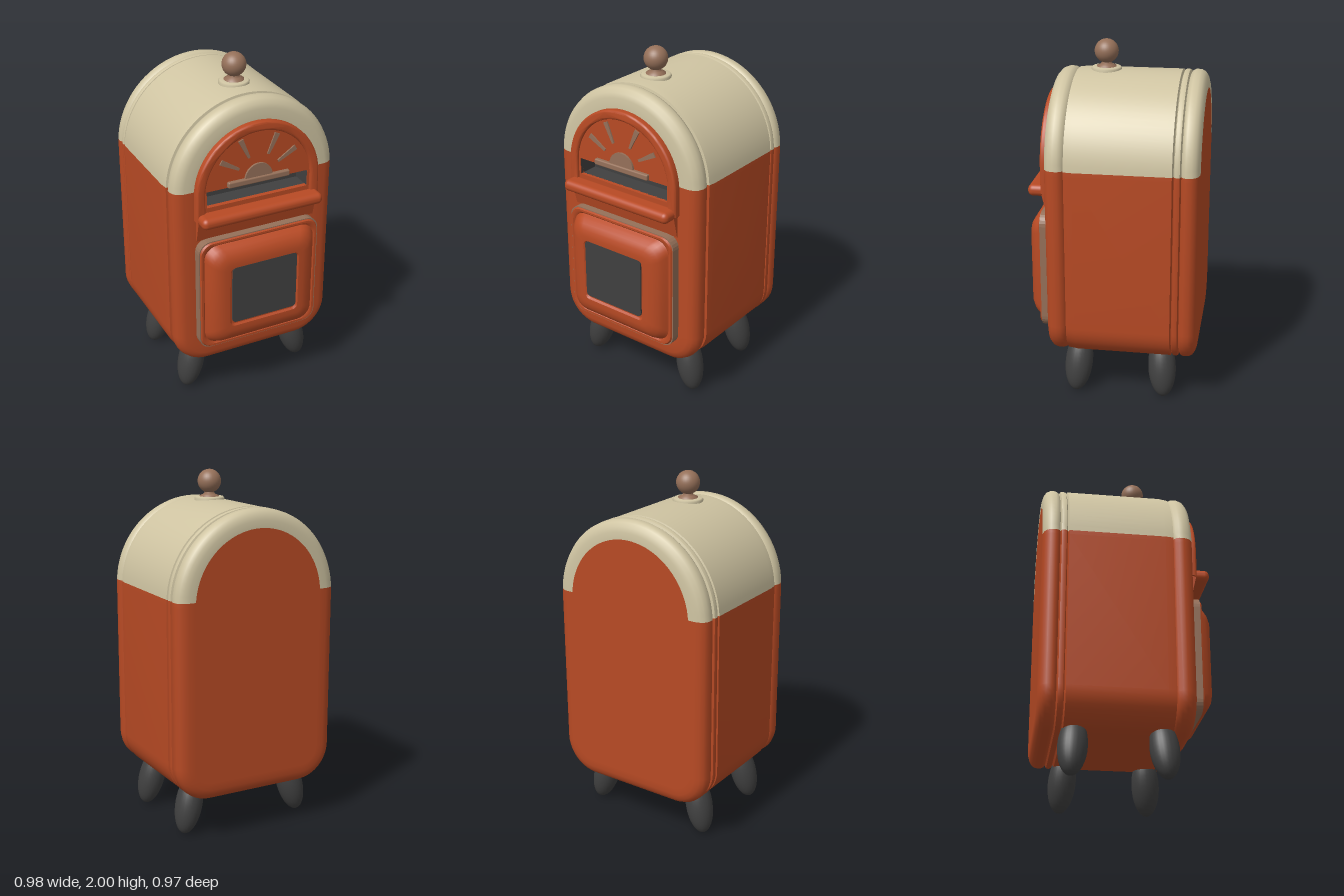
import * as THREE from 'three';
import { toCreasedNormals } from 'three/addons/utils/BufferGeometryUtils.js';
import { RoundedBoxGeometry } from 'three/addons/geometries/RoundedBoxGeometry.js';

const HALF = 0.488, ARC_Y = 1.345, SPLIT_Y = 1.37, BOTTOM = 0.25, CORNER = 0.2;

// points along an arc
function arc(cx, cy, r, a0, a1, n) {
  const pts = [];
  for (let i = 0; i <= n; i++) {
    const a = a0 + (a1 - a0) * i / n;
    pts.push(new THREE.Vector2(cx + r * Math.cos(a), cy + r * Math.sin(a)));
  }
  return pts;
}

// cabinet outline, inset by d, split where the colours meet
function upperOutline(d) {
  const phi = Math.asin((SPLIT_Y - ARC_Y) / (HALF - d));
  return arc(0, ARC_Y, HALF - d, phi, Math.PI - phi, 40);
}
function lowerOutline(d) {
  const r = HALF - d, phi = Math.asin((SPLIT_Y - ARC_Y) / r);
  const cx = HALF - CORNER, cy = BOTTOM + CORNER, cr = CORNER - d;
  return [
    ...arc(0, ARC_Y, r, Math.PI - phi, Math.PI, 2),
    ...arc(-cx, cy, cr, Math.PI, Math.PI * 1.5, 10),
    ...arc(cx, cy, cr, Math.PI * 1.5, Math.PI * 2, 10),
    ...arc(0, ARC_Y, r, 0, phi, 2),
  ];
}

function roundedRect(hw, hh, r, cy) {
  const x = hw - r, y = hh - r, q = Math.PI / 2;
  return [
    ...arc(x, cy + y, r, 0, q, 6), ...arc(-x, cy + y, r, q, 2 * q, 6),
    ...arc(-x, cy - y, r, 2 * q, 3 * q, 6), ...arc(x, cy - y, r, 3 * q, 4 * q, 6),
    new THREE.Vector2(hw, cy + y),
  ];
}

// skin between outlines, ordered from front to back
function loft(rings, zs, crease = 0.6) {
  const pos = [], idx = [], n = rings[0].length;
  rings.forEach((ring, i) => ring.forEach((p) => pos.push(p.x, p.y, zs[i])));
  for (let i = 0; i < rings.length - 1; i++) {
    for (let j = 0; j < n - 1; j++) {
      const a = i * n + j, b = a + 1, c = a + n, e = c + 1;
      idx.push(a, c, b, b, c, e);
    }
  }
  const g = new THREE.BufferGeometry();
  g.setAttribute('position', new THREE.Float32BufferAttribute(pos, 3));
  g.setIndex(idx);
  return toCreasedNormals(g, crease);
}

function archShape(r, y0) {
  return new THREE.Shape([new THREE.Vector2(-r, y0), new THREE.Vector2(r, y0), ...arc(0, ARC_Y, r, 0, Math.PI, 32)]);
}
function rectShape(x, y0, y1) {
  return new THREE.Shape([[-x, y0], [x, y0], [x, y1], [-x, y1]].map((p) => new THREE.Vector2(...p)));
}
function extrude(shape, z0, z1, bevel = 0) {
  const g = new THREE.ExtrudeGeometry(shape, {
    depth: z1 - z0 - bevel, bevelEnabled: bevel > 0, bevelSize: bevel, bevelThickness: bevel,
    bevelOffset: -bevel, bevelSegments: 3, curveSegments: 24,
  });
  return g.translate(0, 0, z0);
}

export function createModel() {
  const mat = (name, color) => Object.assign(new THREE.MeshStandardMaterial({ color }), { name });
  const red = mat('orange red', 0xb84a24);
  const cream = mat('cream', 0xcfc4a2);
  const brown = mat('brown', 0x957059);
  const dark = mat('charcoal', 0x404040);

  const model = new THREE.Group();
  model.name = 'cabinet';
  const add = (name, geometry, material, x = 0, y = 0, z = 0) => {
    const m = new THREE.Mesh(geometry, material);
    m.name = name;
    m.position.set(x, y, z);
    model.add(m);
    return m;
  };

  // shell: [z, inset] from the front rim to the back rim
  const profile = [
    [0.36, 0.12], [0.36, 0.06], [0.352, 0.033], [0.332, 0.011], [0.305, 0.002], [0.28, 0.003], [0.26, 0.012],
    [0.25, 0.027], [0.246, 0.006], [0.2, 0], [-0.338, 0], [-0.345, 0.018], [-0.351, 0.002], [-0.365, -0.002],
    [-0.379, 0.002], [-0.386, 0.02], [-0.393, 0.007], [-0.41, -0.002], [-0.44, 0], [-0.46, 0.011],
    [-0.474, 0.032], [-0.482, 0.06], [-0.482, 0.1],
  ];
  const zs = profile.map((p) => p[0]);
  add('upperShell', loft(profile.map((p) => upperOutline(p[1])), zs), cream);
  add('lowerShell', loft(profile.map((p) => lowerOutline(p[1])), zs), red);

  // flat front and back faces
  const slot = rectShape(0.305, 1.27, 1.365);
  const face = (d) => new THREE.Shape([...upperOutline(d), ...lowerOutline(d).slice(1, -1)]);
  const frontFace = face(0.12);
  frontFace.holes.push(slot);
  add('frontPanel', new THREE.ShapeGeometry(frontFace), red, 0, 0, 0.36);
  add('backPanel', new THREE.ShapeGeometry(face(0.1)).rotateY(Math.PI), red, 0, 0, -0.482);

  // arched display with raised trim and a recessed slot
  const trim = archShape(0.37, 1.2);
  trim.holes.push(archShape(0.318, 1.24));
  add('archTrim', toCreasedNormals(extrude(trim, 0.355, 0.399, 0.012), 0.6), red);
  const display = archShape(0.325, 1.23);
  display.holes.push(slot);
  add('archPanel', extrude(display, 0.355, 0.382), red);
  const slotWalls = rectShape(0.315, 1.26, 1.375);
  slotWalls.holes.push(slot);
  add('slotWalls', extrude(slotWalls, 0.26, 0.378), dark);
  add('slotBack', new THREE.PlaneGeometry(0.62, 0.11), dark, 0, 1.3175, 0.262);

  // sunrise ornament
  add('sunLedge', new RoundedBoxGeometry(0.37, 0.035, 0.03, 2, 0.008), brown, 0, 1.383, 0.388);
  add('sunDisc', extrude(new THREE.Shape(arc(0, 1.395, 0.082, 0, Math.PI, 20)), 0.38, 0.394), brown);
  for (const deg of [30, 65, 115, 150]) {
    const a = THREE.MathUtils.degToRad(deg);
    const ray = new THREE.Shape([[0.135, -0.007], [0.258, -0.015], [0.258, 0.015], [0.135, 0.007]].map((p) => new THREE.Vector2(...p)));
    add('sunRay', extrude(ray, 0.38, 0.39).rotateZ(a), brown, 0, 1.395, 0);
  }

  // shelf bar and the sloping apron below it
  add('shelfBar', new RoundedBoxGeometry(0.73, 0.066, 0.11, 4, 0.03), red, 0, 1.213, 0.418);
  const apron = new THREE.Shape([[0.35, 1.07], [0.365, 1.07], [0.396, 1.2], [0.35, 1.2]].map((p) => new THREE.Vector2(...p)));
  add('apron', extrude(apron, -0.36, 0.36).rotateY(-Math.PI / 2), red);

  // door: brown surround, red lip and pillowed front with a window
  const DOOR_Y = 0.73;
  const door = (d, r) => roundedRect(0.368 - d, 0.345 - d, r, DOOR_Y);
  add('doorSurround', extrude(new THREE.Shape(door(0, 0.07).slice(0, -1)), 0.355, 0.41), brown);
  const doorProfile = [
    [0.474, 0.165, 0.025], [0.484, 0.155, 0.03], [0.485, 0.125, 0.04], [0.478, 0.092, 0.06], [0.462, 0.064, 0.075],
    [0.442, 0.046, 0.08], [0.422, 0.036, 0.08], [0.412, 0.03, 0.08], [0.42, 0.022, 0.075], [0.42, 0.01, 0.07], [0.408, 0.004, 0.07],
  ];
  add('door', loft(doorProfile.map((p) => door(p[1], p[2])), doorProfile.map((p) => p[0])), red);
  add('doorWindow', extrude(new THREE.Shape(roundedRect(0.2, 0.178, 0.022, 0.743).slice(0, -1)), 0.476, 0.485), dark);
  add('doorFill', new THREE.PlaneGeometry(0.41, 0.364), red, 0, DOOR_Y, 0.4735);

  // top knob
  const lathe = (pts) => new THREE.LatheGeometry(pts.map((p) => new THREE.Vector2(...p)), 32);
  add('knobFlange', lathe([[0.085, -0.03], [0.086, 0.008], [0.078, 0.017], [0.05, 0.018], [0, 0.018]]), cream, 0, 1.828, 0.085);
  add('knobNeck', lathe([[0.058, 0], [0.055, 0.022], [0.034, 0.03], [0.026, 0.042], [0.028, 0.06]]), brown, 0, 1.828, 0.085);
  add('knobBall', new THREE.SphereGeometry(0.067, 32, 20), brown, 0, 1.932, 0.085);

  // splayed egg-shaped feet
  for (const side of [1, -1]) {
    for (const [z, lean] of [[0.2, -0.08], [-0.285, 0.08]]) {
      const foot = add('foot', new THREE.SphereGeometry(1, 24, 18), dark, side * 0.335, 0.172, z);
      foot.scale.set(0.076, 0.175, 0.08);
      foot.rotation.set(lean, 0, side * 0.24);
    }
  }
  return model;
}
